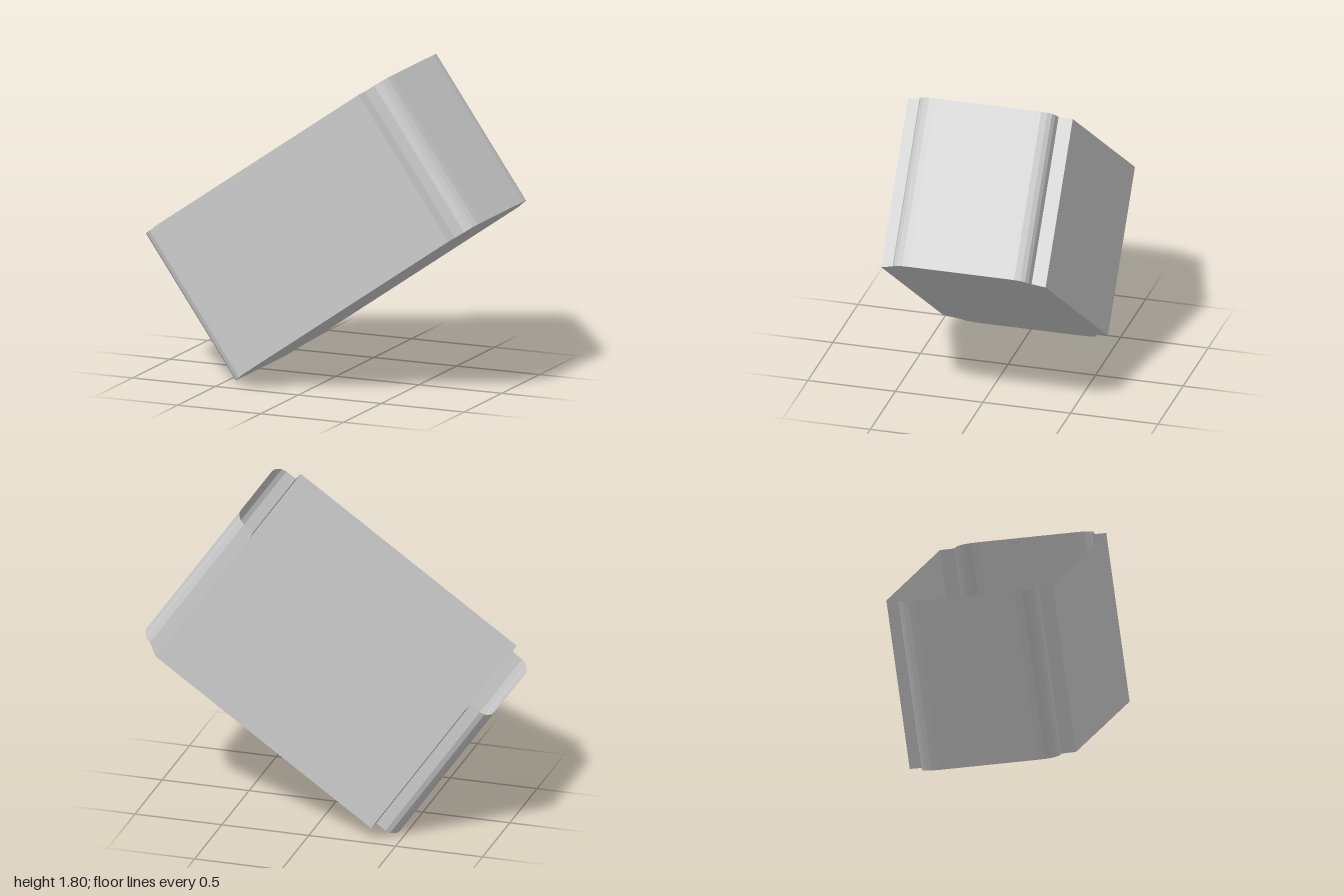
import * as THREE from 'three';

const HALF_LENGTH = 0.89, HALF_HEIGHT = 0.473, TILT = 0.61;

// One corner of the wall outline (length, depth): step in from the side plate, then round to the end
const CORNER = [
  [0.757, 0.47], [0.762, 0.39], [0.827, 0.388], [0.855, 0.375],
  [0.873, 0.352], [0.886, 0.32], [HALF_LENGTH, 0.28],
];

const material = new THREE.MeshStandardMaterial({
  color: 0xcccccc, flatShading: true, side: THREE.DoubleSide,
});

const mirror = (points, sx, sz) => points.map(([x, z]) => [x * sx, z * sz]);

// Upright strip standing on a run of outline points
function strip(name, points) {
  const positions = [], index = [];
  points.forEach(([x, z], i) => {
    positions.push(x, -HALF_HEIGHT, z, x, HALF_HEIGHT, z);
    if (i > 0) {
      const a = 2 * (i - 1);
      index.push(a, a + 2, a + 1, a + 1, a + 2, a + 3);
    }
  });
  const geometry = new THREE.BufferGeometry();
  geometry.setAttribute('position', new THREE.Float32BufferAttribute(positions, 3));
  geometry.setIndex(index);
  const flat = geometry.toNonIndexed();
  flat.computeVertexNormals();
  const mesh = new THREE.Mesh(flat, material);
  mesh.name = name;
  return mesh;
}

export function createModel() {
  const group = new THREE.Group();
  group.name = 'tiltedOpenBox';

  const box = new THREE.Group();
  box.name = 'box';
  box.rotation.z = TILT;
  box.position.y = HALF_LENGTH * Math.sin(TILT) + HALF_HEIGHT * Math.cos(TILT);
  group.add(box);

  // Flat side plates
  const [px, pz] = CORNER[0];
  box.add(strip('frontWall', [[-px, pz], [px, pz]]));
  box.add(strip('backWall', [[px, -pz], [-px, -pz]]));

  // Rounded end walls, stepped in from the side plates
  box.add(strip('rightEndWall', [
    ...mirror(CORNER, -1, -1), ...mirror(CORNER, -1, 1).reverse(),
  ]));
  box.add(strip('leftEndWall', [
    ...mirror(CORNER, 1, 1), ...mirror(CORNER, 1, -1).reverse(),
  ]));

  // Floor: three corners cut straight across the step, one follows it
  const cut = CORNER.filter((_, i) => i !== 1);
  const outline = [
    ...mirror(cut, 1, 1),
    ...mirror(cut, 1, -1).reverse(),
    ...mirror(CORNER, -1, -1),
    ...mirror(cut, -1, 1).reverse(),
  ].map(([x, z]) => new THREE.Vector2(x, z));
  const floor = new THREE.Mesh(
    new THREE.ShapeGeometry(new THREE.Shape(outline)).rotateX(Math.PI / 2), material);
  floor.name = 'floor';
  floor.position.y = -HALF_HEIGHT;
  box.add(floor);

  return group;
}
